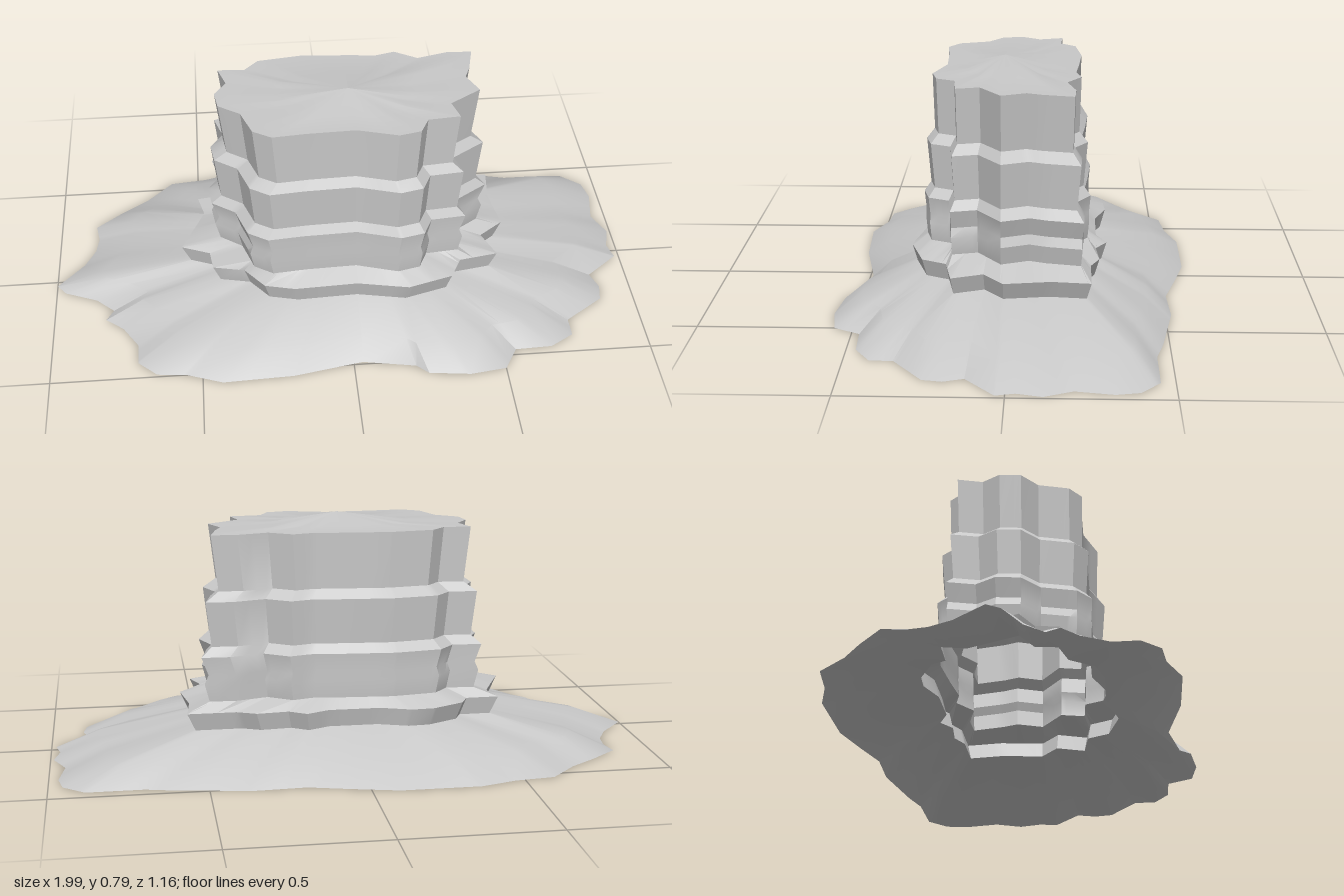
import * as THREE from 'three';
import { toCreasedNormals } from 'three/addons/utils/BufferGeometryUtils.js';

// Common axis of all the rings (x, z)
const CX = 0.02, CZ = 0.03;

// Plan outlines as x, z pairs
const SKIRT = [
  0.99, -0.11, 0.95, -0.2, 0.97, -0.32, 0.955, -0.395, 0.885, -0.455, 0.7, -0.455, 0.6, -0.48,
  0.36, -0.52, 0.195, -0.513, 0.06, -0.55, -0.09, -0.587, -0.35, -0.587, -0.47, -0.55, -0.6, -0.535,
  -0.69, -0.44, -0.78, -0.375, -0.875, -0.295, -0.863, -0.225, -0.873, -0.16, -0.91, -0.085,
  -1, 0.02, -0.97, 0.06, -0.86, 0.107, -0.8, 0.165, -0.825, 0.21, -0.765, 0.26, -0.713, 0.347,
  -0.713, 0.43, -0.65, 0.49, -0.553, 0.5, -0.435, 0.545, -0.2, 0.535, 0.03, 0.49, 0.205, 0.523,
  0.243, 0.56, 0.38, 0.577, 0.5, 0.56, 0.547, 0.475, 0.67, 0.47, 0.75, 0.42, 0.75, 0.347,
  0.884, 0.25, 0.895, 0.187, 0.873, 0.123, 0.985, 0.03, 0.97, -0.03,
];
const STEP = [
  0.563, 0.02, 0.54, -0.13, 0.553, -0.256, 0.393, -0.256, 0.33, -0.285, 0.225, -0.275, 0.168, -0.312,
  0.093, -0.278, -0.077, -0.278, -0.18, -0.315, -0.254, -0.31, -0.36, -0.256, -0.385, -0.205,
  -0.495, -0.203, -0.475, -0.12, -0.505, -0.05, -0.555, 0.06, -0.46, 0.1, -0.45, 0.176,
  -0.345, 0.2, -0.28, 0.285, -0.18, 0.31, 0.03, 0.3, 0.2, 0.335, 0.35, 0.29, 0.39, 0.21,
  0.52, 0.187, 0.48, 0.085,
];
const BUTTE = [
  0.455, 0.03, 0.42, -0.05, 0.44, -0.1, 0.462, -0.2, 0.377, -0.203, 0.275, -0.176, 0.2, -0.222,
  0.136, -0.205, 0.03, -0.215, -0.12, -0.225, -0.264, -0.205, -0.31, -0.155, -0.4, -0.16,
  -0.375, -0.08, -0.415, -0.02, -0.405, 0.05, -0.334, 0.1, -0.3, 0.2, -0.24, 0.238, -0.13, 0.228,
  0.03, 0.222, 0.163, 0.262, 0.235, 0.245, 0.264, 0.185, 0.37, 0.175, 0.35, 0.1,
];

// Outline as polar points about the axis, sorted by angle
function polar(flat) {
  const pts = [];
  for (let i = 0; i < flat.length; i += 2) {
    const x = flat[i] - CX, z = flat[i + 1] - CZ;
    pts.push({ x, z, a: Math.atan2(z, x) });
  }
  return pts.sort((p, q) => p.a - q.a);
}

// Point where the ray at an angle crosses the outline
function crossing(pts, angle) {
  let k = pts.findIndex((p) => p.a >= angle - 1e-9);
  if (k < 0) k = 0;
  const q = pts[k], p = pts[(k + pts.length - 1) % pts.length];
  const c = Math.cos(angle), s = Math.sin(angle);
  const dx = q.x - p.x, dz = q.z - p.z;
  const r = (p.x * dz - p.z * dx) / (c * dz - s * dx);
  return [r * c, r * s];
}

// Surface through a stack of closed rings, listed from the bottom up
function loft(rings) {
  const n = rings[0].length, index = [];
  for (let i = 0; i < rings.length - 1; i++) {
    for (let j = 0; j < n; j++) {
      const k = (j + 1) % n;
      const a = i * n + j, b = i * n + k, c = a + n, d = b + n;
      index.push(a, c, b, b, c, d);
    }
  }
  const geo = new THREE.BufferGeometry();
  geo.setAttribute('position', new THREE.Float32BufferAttribute(rings.flat(2), 3));
  geo.setIndex(index);
  return toCreasedNormals(geo, 0.5);
}

export function createModel() {
  const group = new THREE.Group();
  group.name = 'rockButte';
  const rock = new THREE.MeshStandardMaterial({ color: 0xc8c8c8, side: THREE.DoubleSide });
  rock.name = 'grey rock';

  // Every corner angle of every outline, so that all the rings line up
  const outlines = [SKIRT, STEP, BUTTE].map(polar);
  const angles = outlines.flat().map((p) => p.a).sort((a, b) => a - b)
    .filter((a, i, all) => i === 0 || a - all[i - 1] > 0.004);
  const [skirt, step, butte] = outlines.map((o) => angles.map((a) => crossing(o, a)));

  const ring = (outline, y, sx = 1, sz = sx) =>
    outline.map(([x, z]) => [CX + x * sx, y, CZ + z * sz]);
  const blend = (p, q, t) =>
    p.map(([x, z], i) => [x + (q[i][0] - x) * t, z + (q[i][1] - z) * t]);
  const add = (name, rings) => {
    const mesh = new THREE.Mesh(loft(rings), rock);
    mesh.name = name;
    group.add(mesh);
  };

  // Spreading scree slope, open underneath
  add('screeSlope', [ring(skirt, 0), ring(blend(step, skirt, 0.65), 0.06), ring(step, 0.12, 0.95)]);

  // Low plinth with a sloping ledge
  add('plinth', [ring(step, 0.12, 0.95), ring(step, 0.18), ring(butte, 0.21, 1.035, 1.1)]);

  // Flared cliff bands with ledges between them: y, x scale, z scale
  add('cliffBands', [
    [0.21, 1.035, 1.1], [0.27, 1.07, 1.12], [0.3, 1.04, 1.115], [0.36, 1.09, 1.135],
    [0.39, 1.01, 1.04], [0.54, 1.05, 1.09], [0.57, 0.95, 0.98], [0.755, 1, 1],
  ].map(([y, sx, sz]) => ring(butte, y, sx, sz)));

  // Flat rim rising to a shallow central peak
  add('summit', [ring(butte, 0.755), ring(butte, 0.757, 0.53), ring(butte, 0.787, 0.001)]);

  return group;
}
